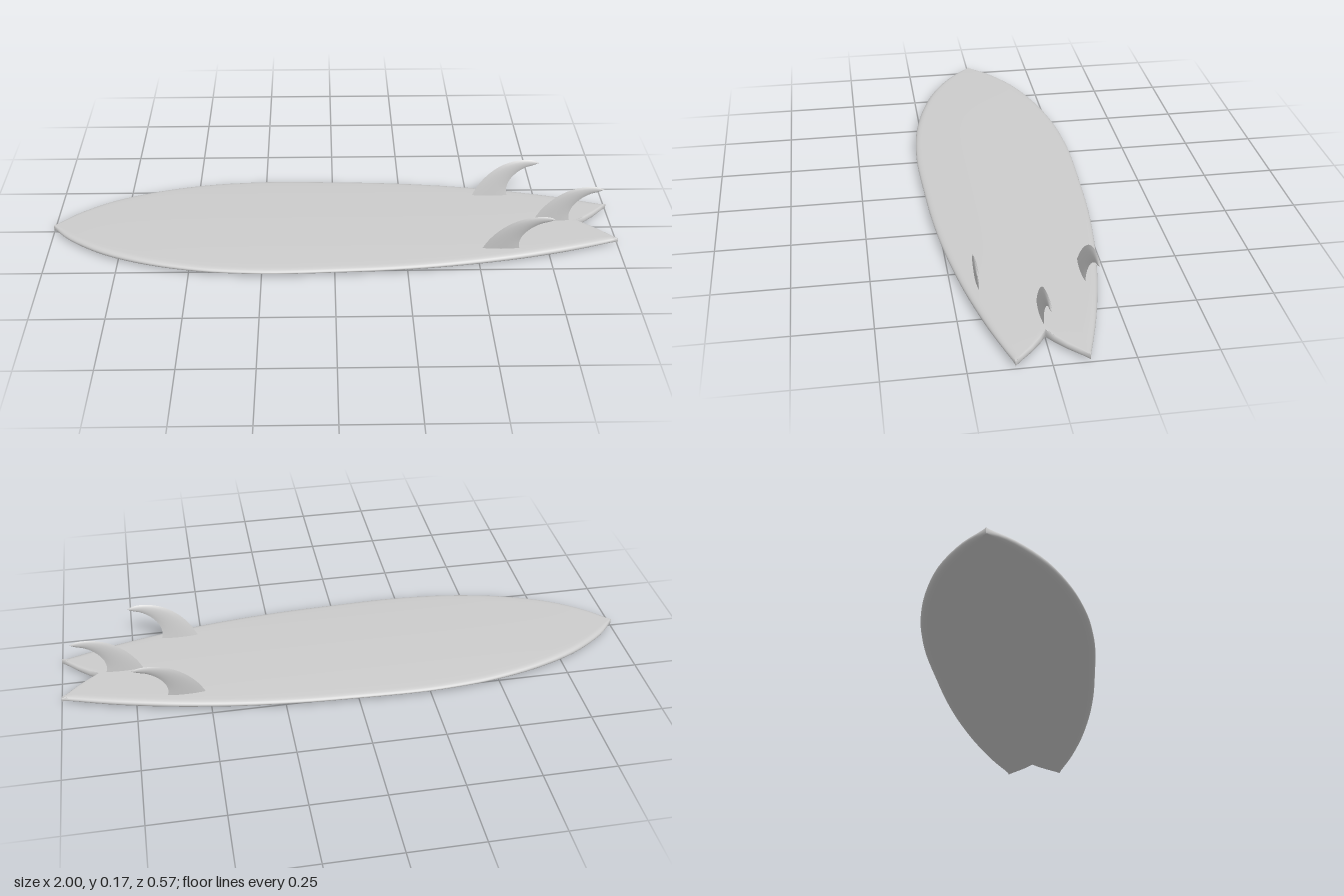
import * as THREE from 'three';
import { mergeGeometries, toCreasedNormals } from 'three/addons/utils/BufferGeometryUtils.js';

const FORK = 0.87; // where the swallow tail splits
const MID = 0.0185; // height of the rail line
const V = (x, y, z) => new THREE.Vector3(x, y, z);

// Skins a row of open rings; keep(i, k) may leave out a quad.
function skin(rings, keep = () => true) {
  const pos = [];
  const tri = (a, b, c) => {
    const area = b.clone().sub(a).cross(c.clone().sub(a)).length();
    if (area > 1e-9) for (const p of [a, b, c]) pos.push(p.x, p.y, p.z);
  };
  for (let i = 0; i < rings.length - 1; i++) {
    for (let k = 0; k < rings[i].length - 1; k++) {
      if (!keep(i, k)) continue;
      const a = rings[i][k], b = rings[i][k + 1];
      const c = rings[i + 1][k], d = rings[i + 1][k + 1];
      tri(a, b, c);
      tri(b, d, c);
    }
  }
  const geometry = new THREE.BufferGeometry();
  geometry.setAttribute('position', new THREE.Float32BufferAttribute(pos, 3));
  return geometry;
}

// Enlarged while creasing, so that thin details are not welded together.
function crease(geometry, angle) {
  geometry.scale(100, 100, 100);
  return toCreasedNormals(geometry, angle).scale(0.01, 0.01, 0.01);
}

// Half of the board's plan: x and half width, nose to tail
const outline = new THREE.SplineCurve([
  [-1, 0], [-0.93, 0.077], [-0.8, 0.163], [-0.64, 0.226], [-0.48, 0.264],
  [-0.35, 0.28], [-0.2, 0.287], [0, 0.281], [0.2, 0.271], [0.4, 0.25],
  [0.6, 0.217], [0.76, 0.181], [FORK, 0.151], [1, 0.11],
].map(([x, z]) => new THREE.Vector2(x, z)));

const ARC = 5, FLAT = 8;

// Cross-section of one half: inner edge, deck, rounded rail, bottom
function boardRing(x, outer) {
  const inner = x > FORK + 1e-6 ? 0.11 * Math.pow((x - FORK) / (1 - FORK), 1.35) : 0;
  const width = Math.max(outer - inner, 0);
  const rail = Math.min(0.022, width / 2);
  const innerRail = Math.min(0.01, width / 2, inner * 0.5);
  const half = [];
  for (let k = 0; k <= ARC; k++) {
    const a = (k / ARC) * Math.PI / 2;
    half.push([inner + innerRail * (1 - Math.cos(a)), Math.sin(a)]);
  }
  for (let k = 1; k < FLAT; k++) {
    half.push([THREE.MathUtils.lerp(inner + innerRail, inner + width - rail, k / FLAT), 1]);
  }
  for (let k = 0; k <= ARC; k++) {
    const a = (k / ARC) * Math.PI / 2;
    half.push([inner + width - rail * (1 - Math.sin(a)), Math.cos(a)]);
  }
  const at = ([z, s], sign, dome) => {
    const crown = dome * (1 - (z / 0.29) ** 2) * (1 - x ** 6);
    return V(x, MID + sign * s * (0.009 + crown), z);
  };
  const deck = half.map((p) => at(p, 1, 0.0075));
  const bottom = half.map((p) => at(p, -1, 0.0095)).reverse();
  return [...deck, ...bottom.slice(1)];
}

function boardGeometry() {
  const stations = outline.getPoints(13 * 4);
  const rings = stations.map((p) => boardRing(p.x, p.y));
  const last = rings[0].length - 1;
  // The inner edge is only needed along the fork
  const keep = (i, k) => stations[i].x > FORK - 1e-4 || (k >= ARC && k < last - ARC);
  const mirrored = rings.map((r) => r.map((p) => V(p.x, p.y, -p.z)).reverse());
  return crease(mergeGeometries([skin(rings, keep), skin(mirrored, keep)]), 1);
}

// Fin edges, measured back from the leading corner of the base
const curve = (pts) => new THREE.CatmullRomCurve3(pts.map(([x, y]) => V(x, y, 0)));
const leading = curve([[-0.004, 0.022], [0.024, 0.075], [0.063, 0.12], [0.113, 0.154],
  [0.172, 0.171], [0.22, 0.17], [0.242, 0.16]]);
const trailing = curve([[0.132, 0.022], [0.126, 0.055], [0.135, 0.088], [0.16, 0.12],
  [0.193, 0.142], [0.222, 0.151], [0.242, 0.16]]);

// Swept fin with a lens section, leaning outward by lean at the tip
function finGeometry(lean) {
  const rings = [];
  const ROWS = 20, SIDE = 8;
  for (let i = 0; i <= ROWS; i++) {
    const t = i / ROWS;
    const a = leading.getPoint(t), b = trailing.getPoint(t);
    const thick = 0.0052 * Math.pow(1 - t ** 5, 0.5);
    const ring = [];
    for (let k = 0; k <= 2 * SIDE; k++) {
      const s = k <= SIDE ? k / SIDE : 2 - k / SIDE;
      const side = k <= SIDE ? 1 : -1;
      const p = a.clone().lerp(b, s);
      p.z = side * thick * Math.pow(Math.max(Math.sin(Math.PI * s), 0), 0.7);
      p.z += lean * (p.y - 0.03) / 0.14;
      ring.push(p);
    }
    rings.push(ring);
  }
  return crease(skin(rings), 0.9);
}

export function createModel() {
  const group = new THREE.Group();
  const material = new THREE.MeshStandardMaterial({ color: 0xcccccc });
  const add = (name, geometry, x = 0, z = 0) => {
    const mesh = new THREE.Mesh(geometry, material);
    mesh.name = name;
    mesh.position.set(x, 0, z);
    group.add(mesh);
  };

  add('board', boardGeometry());
  add('centreFin', finGeometry(0), 0.715, 0);
  for (const side of [1, -1]) {
    add(side > 0 ? 'frontSideFin' : 'backSideFin', finGeometry(0.018 * side), 0.513, 0.168 * side);
  }
  return group;
}
